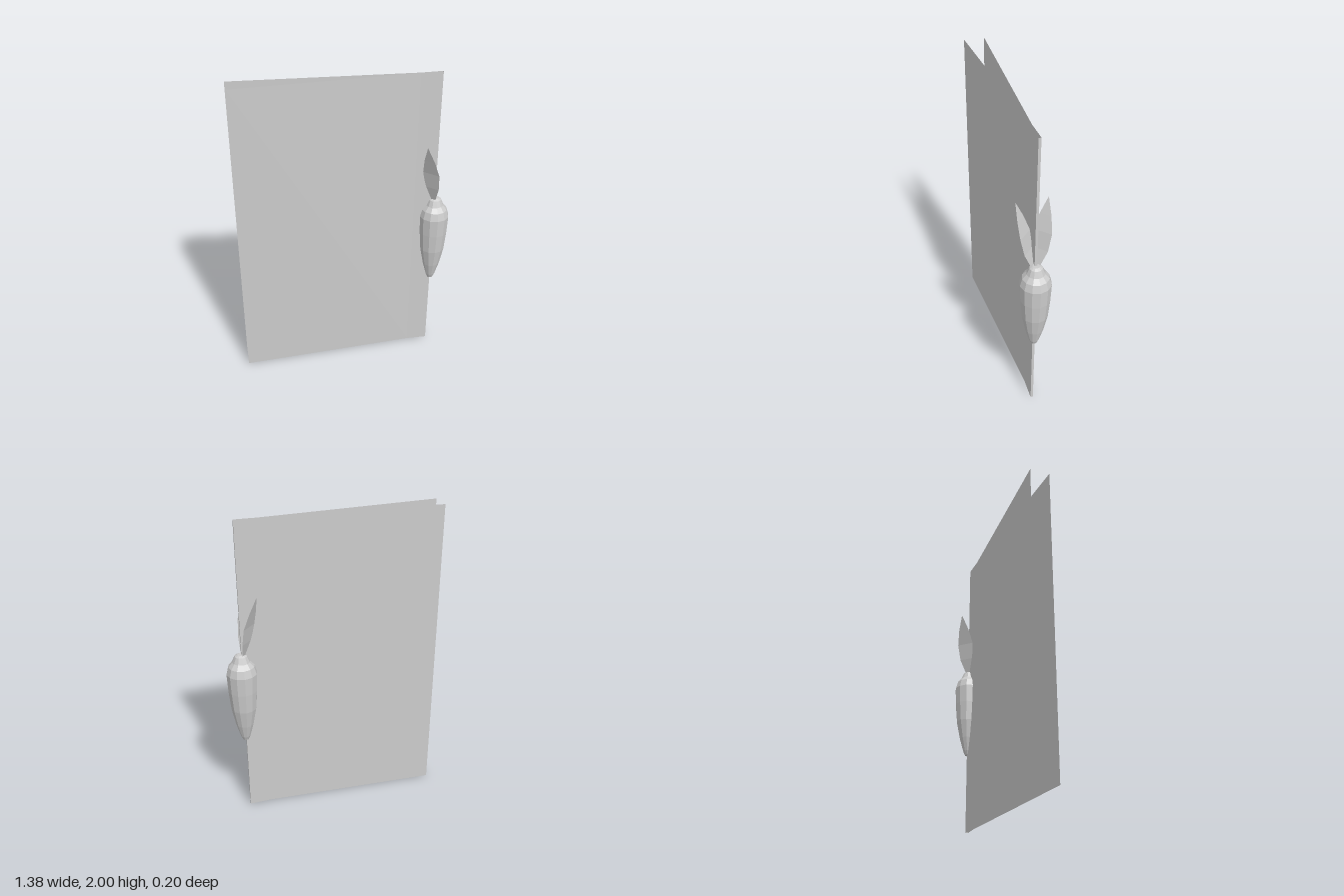
import * as THREE from 'three';

const solid = new THREE.MeshStandardMaterial({ color: 0xcccccc, flatShading: true });
const thin = new THREE.MeshStandardMaterial({ color: 0xcccccc, flatShading: true, side: THREE.DoubleSide });

const AXIS_X = 0.593; // spine and carrot axis

// Open strip between two edges, each a list of [x, y, z] of equal length
function strip(name, edgeA, edgeB) {
  const positions = [];
  const index = [];
  edgeA.forEach((a, i) => {
    positions.push(...a, ...edgeB[i]);
    if (i > 0) {
      const k = 2 * i;
      index.push(k - 2, k - 1, k, k - 1, k + 1, k);
    }
  });
  const geometry = new THREE.BufferGeometry();
  geometry.setAttribute('position', new THREE.Float32BufferAttribute(positions, 3));
  geometry.setIndex(index);
  geometry.computeVertexNormals();
  const mesh = new THREE.Mesh(geometry, thin);
  mesh.name = name;
  return mesh;
}

// Folded card: two covers, a crease beside the spine, and the narrow spine
function createCard() {
  const section = [
    [-0.69, 0.065], [0.455, 0.004], [0.59, 0.008],
    [0.59, -0.008], [0.455, -0.004], [-0.69, -0.065],
  ];
  const edge = (y) => section.map(([x, z]) => [x, y, z]);
  return strip('foldedCover', edge(0), edge(2));
}

// Carrot root turned around a vertical axis
function createRoot() {
  const profile = [
    [0, 0.528], [0.02, 0.532], [0.032, 0.56], [0.057, 0.65], [0.081, 0.77],
    [0.092, 0.9], [0.097, 1.02], [0.083, 1.07], [0.057, 1.1], [0.04, 1.14],
    [0.022, 1.15], [0, 1.15],
  ].map(([r, y]) => new THREE.Vector2(r, y));
  const mesh = new THREE.Mesh(new THREE.LatheGeometry(profile, 12), solid);
  mesh.name = 'carrotRoot';
  mesh.position.x = AXIS_X;
  return mesh;
}

// Leaf leaning out diagonally; rows of [height, outward lean, half width]
function createLeaf(name, side) {
  const rows = [
    [1.14, 0.016, 0.01], [1.24, 0.036, 0.034], [1.35, 0.052, 0.041],
    [1.45, 0.074, 0.026], [1.555, 0.098, 0],
  ];
  const edge = (s) => rows.map(([y, lean, half]) =>
    [AXIS_X - lean + s * half, y, side * (lean + s * half)]);
  return strip(name, edge(-1), edge(1));
}

export function createModel() {
  const model = new THREE.Group();
  model.name = 'cardWithCarrot';
  model.add(createCard(), createRoot(), createLeaf('frontLeaf', 1), createLeaf('backLeaf', -1));
  return model;
}
